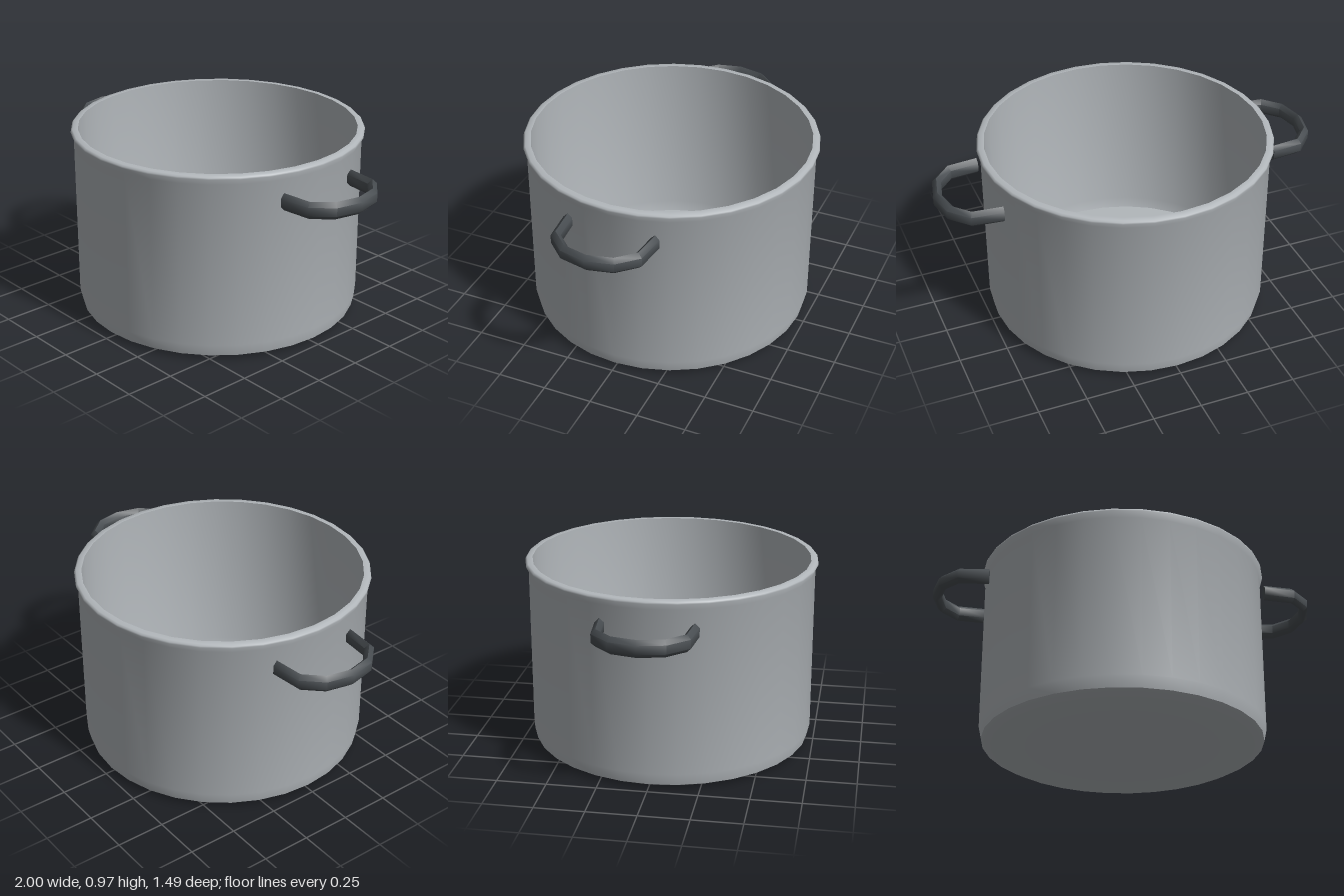
import * as THREE from 'three';
import { toCreasedNormals } from 'three/addons/utils/BufferGeometryUtils.js';

const steel = new THREE.MeshStandardMaterial({ color: 0xb2b7bb });
steel.name = 'brushed steel';
const dark = new THREE.MeshStandardMaterial({ color: 0x484d51 });
dark.name = 'dark handle';

// Pot body: one closed profile, up the outside, over the rolled rim and down inside
function potGeometry() {
  const profile = [
    [0, 0], [0.67, 0], [0.717, 0.025], [0.73, 0.085], [0.73, 0.925],
    [0.745, 0.955], [0.743, 0.963], [0.735, 0.97], [0.708, 0.97],
    [0.706, 0.09], [0.692, 0.035], [0, 0.035],
  ].map(([r, y]) => new THREE.Vector2(r, y));
  return toCreasedNormals(new THREE.LatheGeometry(profile, 32), 0.8);
}

// Handle: flattened six-sided section swept along a mitred path in the xz plane
function handleGeometry() {
  const half = [[0.715, 0.226], [0.868, 0.211], [0.95, 0.125], [0.978, 0]];
  const path = [...half, ...half.slice(0, 3).reverse().map(([x, z]) => [x, -z])]
    .map(([x, z]) => new THREE.Vector2(x, z));
  const sides = 6, halfWidth = 0.0255, halfHeight = 0.043, midY = 0.8225;
  const positions = [], index = [];

  path.forEach((p, i) => {
    const before = p.clone().sub(path[Math.max(i - 1, 0)]).normalize();
    const after = path[Math.min(i + 1, path.length - 1)].clone().sub(p).normalize();
    const dir = before.clone().add(after).normalize();
    const miter = 1 / dir.dot(after.lengthSq() ? after : before);
    // outward normal of the path
    const nx = -dir.y * miter, nz = dir.x * miter;
    for (let s = 0; s < sides; s++) {
      const a = Math.PI / 2 + (s / sides) * Math.PI * 2;
      const w = Math.cos(a) * halfWidth;
      positions.push(p.x + nx * w, midY + Math.sin(a) * halfHeight, p.y + nz * w);
    }
  });

  for (let i = 0; i < path.length - 1; i++) {
    for (let s = 0; s < sides; s++) {
      const a = i * sides + s, b = i * sides + (s + 1) % sides;
      index.push(a, a + sides, b, b, a + sides, b + sides);
    }
  }
  // end caps
  const last = (path.length - 1) * sides;
  for (let s = 1; s < sides - 1; s++) {
    index.push(0, s, s + 1);
    index.push(last, last + s + 1, last + s);
  }

  const geometry = new THREE.BufferGeometry();
  geometry.setAttribute('position', new THREE.Float32BufferAttribute(positions, 3));
  geometry.setIndex(index);
  return toCreasedNormals(geometry, 0.9);
}

export function createModel() {
  const model = new THREE.Group();
  model.name = 'cookingPot';

  const body = new THREE.Mesh(potGeometry(), steel);
  body.name = 'potBody';
  model.add(body);

  const geometry = handleGeometry();
  ['leftHandle', 'rightHandle'].forEach((name, i) => {
    const handle = new THREE.Mesh(geometry, dark);
    handle.name = name;
    handle.rotation.y = i * Math.PI;
    model.add(handle);
  });
  return model;
}
